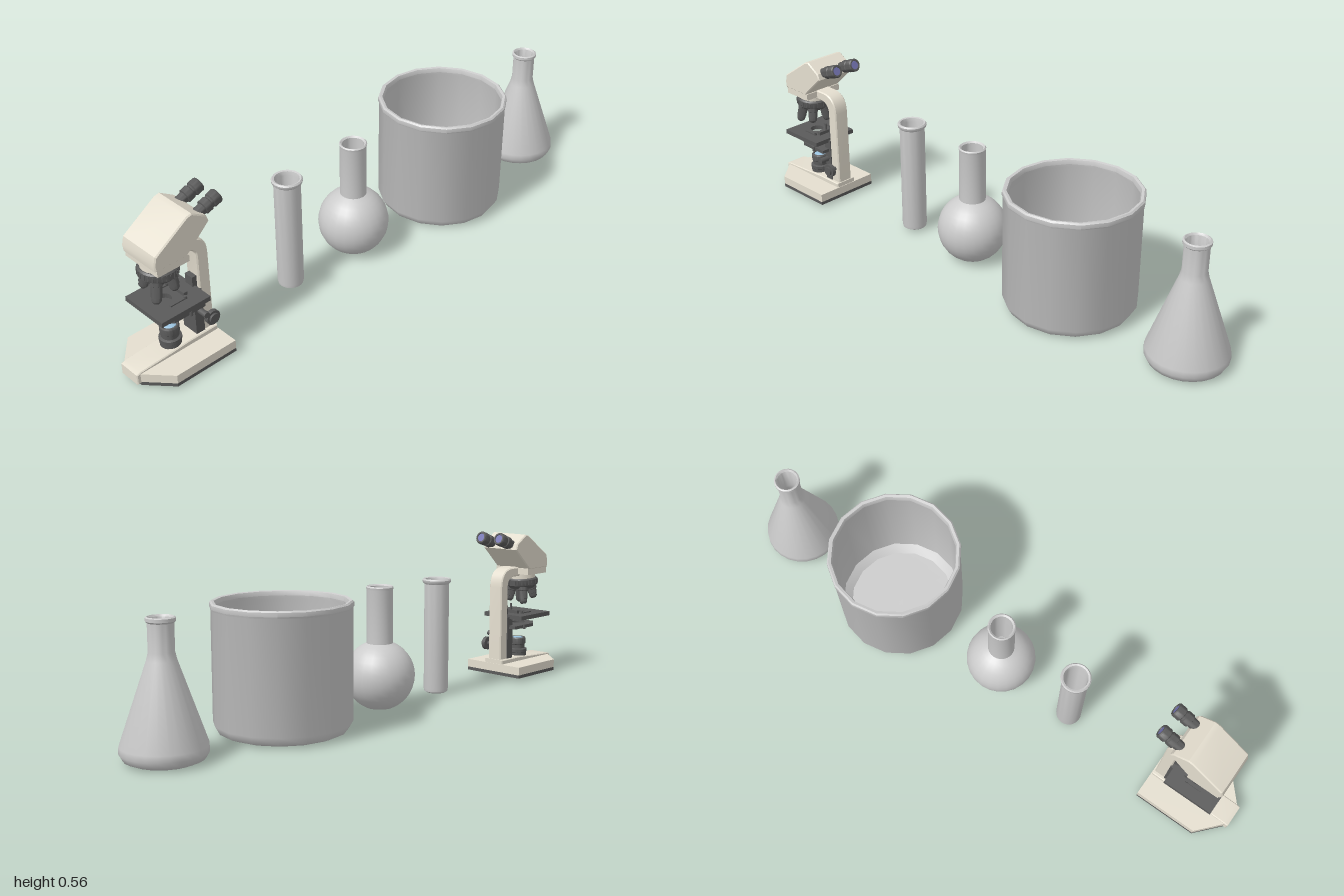
import * as THREE from 'three';
import { toCreasedNormals } from 'three/addons/utils/BufferGeometryUtils.js';

const mat = (color) => new THREE.MeshStandardMaterial({ color });
const glass = mat(0xcccccc), cream = mat(0xe4decf), dark = mat(0x5a5a5a);
const lensBlue = mat(0x9cc4e0), lensViolet = mat(0x7878b8);

function add(parent, name, geometry, material, x = 0, y = 0, z = 0) {
  const mesh = new THREE.Mesh(geometry, material);
  mesh.name = name;
  mesh.position.set(x, y, z);
  parent.add(mesh);
  return mesh;
}

const box = (w, h, d) => new THREE.BoxGeometry(w, h, d);
const cyl = (r, h, r2 = r, n = 20) => new THREE.CylinderGeometry(r, r2, h, n);

// Revolve [radius, height] points, rounding gentle angles only
function lathe(points, segments = 20) {
  const pts = points.map(([r, y]) => new THREE.Vector2(r, y));
  return toCreasedNormals(new THREE.LatheGeometry(pts, segments), 0.7);
}

// Extrude a side outline of [z, y] points across x
function sideProfile(shape, width, bevel = 0) {
  const g = new THREE.ExtrudeGeometry(shape, {
    depth: width - 2 * bevel, bevelEnabled: bevel > 0, bevelSize: bevel,
    bevelThickness: bevel, bevelOffset: -bevel, bevelSegments: 1, curveSegments: 8,
  });
  g.translate(0, 0, -(width - 2 * bevel) / 2).rotateY(-Math.PI / 2);
  return toCreasedNormals(g, 0.5);
}

// Extrude a plan outline of [x, -z] points upwards
function plan(shape, height) {
  const g = new THREE.ExtrudeGeometry(shape, { depth: height, bevelEnabled: false });
  return g.rotateX(-Math.PI / 2);
}

const poly = (pts) => new THREE.Shape(pts.map(([x, y]) => new THREE.Vector2(x, y)));

function addGlassware(root) {
  // Test tube with a small lip
  add(root, 'testTube', lathe([[0, 0.008], [0.034, 0.008], [0.042, 0.013], [0.044, 0.024],
    [0.044, 0.402], [0.05, 0.408], [0.051, 0.416], [0.047, 0.421], [0.041, 0.419],
    [0.038, 0.405], [0.038, 0.022], [0, 0.016]], 24), glass, 0, 0, 0.333);

  // Round flask: spherical bulb with a flat foot and straight neck
  const bulb = (r, from, to) => Array.from({ length: 15 }, (_, i) => {
    const a = from + (to - from) * i / 14;
    return [r * Math.sin(a), 0.116 - r * Math.cos(a)];
  });
  const neck = Math.PI - 0.385;
  add(root, 'roundFlask', lathe([[0, 0.004], ...bulb(0.121, 0.39, neck), [0.045, 0.41],
    [0.047, 0.42], [0.043, 0.424], [0.037, 0.419], [0.037, 0.226],
    ...bulb(0.115, neck, 0.39), [0, 0.01]], 24), glass, 0, 0, 0.038);

  // Wide beaker with a chamfered foot and rolled rim
  add(root, 'beaker', lathe([[0, 0.002], [0.185, 0.003], [0.208, 0.012], [0.223, 0.038],
    [0.223, 0.4], [0.227, 0.406], [0.226, 0.419], [0.221, 0.424], [0.212, 0.422],
    [0.208, 0.408], [0.212, 0.396], [0.212, 0.04], [0.185, 0.014], [0, 0.012]], 16), glass, 0, 0, -0.406);

  // Conical flask
  add(root, 'conicalFlask', lathe([[0, 0.003], [0.1, 0.003], [0.121, 0.012], [0.132, 0.032],
    [0.131, 0.052], [0.045, 0.3], [0.039, 0.325], [0.039, 0.41], [0.044, 0.415], [0.044, 0.425],
    [0.039, 0.428], [0.034, 0.422], [0.033, 0.325], [0.039, 0.298], [0.125, 0.05],
    [0.1, 0.012], [0, 0.01]], 24), glass, 0, 0, -0.868);
}

function addMicroscope(root) {
  const m = new THREE.Group();
  m.name = 'microscope';
  m.position.x = 0.019;
  root.add(m);

  // Base with a tapered front, dark underside and raised centre
  const foot = [[-0.123, -0.69], [-0.123, -0.915], [-0.04, -0.988], [0.04, -0.988], [0.123, -0.915], [0.123, -0.69]];
  add(m, 'basePlate', plan(poly(foot), 0.012), dark, 0, 0.014, 0);
  add(m, 'base', plan(poly(foot), 0.03), cream, 0, 0.026, 0);
  add(m, 'baseRidge', sideProfile(poly([[0.692, 0.02], [1, 0.02], [1, 0.057], [0.985, 0.062],
    [0.88, 0.067], [0.8, 0.072], [0.692, 0.072]]), 0.081, 0.003), cream);

  // Curved arm
  const arm = new THREE.Shape();
  arm.moveTo(0.696, 0.06);
  arm.lineTo(0.738, 0.06);
  arm.lineTo(0.738, 0.352);
  arm.quadraticCurveTo(0.74, 0.38, 0.772, 0.385);
  arm.lineTo(0.895, 0.385);
  arm.lineTo(0.895, 0.42);
  arm.lineTo(0.76, 0.42);
  arm.quadraticCurveTo(0.698, 0.418, 0.696, 0.35);
  add(m, 'arm', sideProfile(arm, 0.058, 0.004), cream);
  add(m, 'focusRail', box(0.064, 0.165, 0.032), dark, 0, 0.15, 0.75);
  add(m, 'stageRack', box(0.034, 0.06, 0.02), dark, 0, 0.245, 0.745);

  // Sloped head
  add(m, 'headFoot', box(0.152, 0.024, 0.115), cream, 0, 0.405, 0.855);
  add(m, 'head', sideProfile(poly([[0.805, 0.414], [0.918, 0.414], [0.921, 0.437], [0.914, 0.465],
    [0.795, 0.545], [0.777, 0.549], [0.726, 0.517], [0.718, 0.495]]), 0.156, 0.004), cream);

  // Eyepieces, tilted up towards the back
  for (const side of [-1, 1]) {
    const eye = new THREE.Group();
    eye.name = 'eyepiece';
    eye.position.set(side * 0.042, 0.507, 0.745);
    eye.rotation.x = -1.22;
    m.add(eye);
    add(eye, 'eyepieceTube', lathe([[0, 0], [0.018, 0], [0.018, 0.035], [0.023, 0.037], [0.023, 0.058],
      [0.02, 0.061], [0.02, 0.066], [0.024, 0.069], [0.024, 0.092], [0.021, 0.096],
      [0.016, 0.096], [0.015, 0.091], [0, 0.091]]), dark);
    add(eye, 'eyepieceLens', cyl(0.015, 0.003), lensViolet, 0, 0.092, 0);
  }

  // Revolving nosepiece with angled objectives
  const nose = new THREE.Group();
  nose.name = 'nosepiece';
  nose.position.set(0, 0.36, 0.858);
  nose.rotation.x = -0.06;
  m.add(nose);
  add(nose, 'noseCollar', cyl(0.054, 0.026), cream, 0, 0.026, 0);
  add(nose, 'noseRing', lathe([[0, -0.026], [0.048, -0.026], [0.056, -0.014], [0.062, -0.012],
    [0.062, 0.01], [0.057, 0.015], [0, 0.015]], 28), dark);
  for (let i = 0; i < 28; i++) {
    const a = i * Math.PI / 14;
    add(nose, 'gripRib', box(0.005, 0.016, 0.005), dark, 0.061 * Math.sin(a), -0.001, 0.061 * Math.cos(a)).rotation.y = a;
  }
  [0.072, 0.056, 0.064, 0.05].forEach((len, i) => {
    const turn = new THREE.Group();
    turn.name = 'objective';
    turn.rotation.y = Math.PI / 4 + i * Math.PI / 2;
    nose.add(turn);
    add(turn, 'objectiveBarrel', lathe([[0, -len], [0.009, -len], [0.015, -len + 0.008], [0.015, -len + 0.02],
      [0.017, -len + 0.021], [0.017, -0.014], [0.02, -0.012], [0.02, 0], [0, 0]]), dark, 0, -0.02, 0.037).rotation.x = -0.2;
  });

  // Stage with a light hole, and its slide holder
  const stage = poly([[-0.089, -0.745], [-0.089, -0.925], [0.089, -0.925], [0.089, -0.745]]);
  stage.holes.push(new THREE.Path().absarc(0, -0.85, 0.024, 0, Math.PI * 2));
  add(m, 'stage', plan(stage, 0.016), dark, 0, 0.225, 0);
  add(m, 'slideHolder', box(0.07, 0.012, 0.014), dark, 0, 0.247, 0.795);
  for (const side of [-1, 1]) {
    add(m, 'slideClip', box(0.007, 0.004, 0.06), dark, side * 0.045, 0.243, 0.83);
    add(m, 'clipScrew', cyl(0.005, 0.01, 0.005, 10), dark, side * 0.045, 0.246, 0.805);
  }
  add(m, 'stagePin', cyl(0.004, 0.03, 0.004, 10), dark, 0, 0.263, 0.795);

  // Condenser carrier below the stage
  const carrier = poly([[-0.06, -0.745], [-0.06, -0.86], [-0.03, -0.9], [0.03, -0.9], [0.06, -0.86], [0.06, -0.745]]);
  carrier.holes.push(new THREE.Path().absarc(0, -0.845, 0.026, 0, Math.PI * 2));
  add(m, 'condenserCarrier', plan(carrier, 0.012), dark, 0, 0.187, 0);
  for (const side of [-1, 1]) {
    add(m, 'carrierScrew', cyl(0.006, 0.018, 0.006, 10), dark, side * 0.06, 0.192, 0.8);
  }

  // Lamp with a pale lens
  add(m, 'lamp', lathe([[0, 0.066], [0.034, 0.066], [0.034, 0.082], [0.036, 0.084], [0.036, 0.095],
    [0.028, 0.098], [0.028, 0.112], [0.031, 0.115], [0.031, 0.136], [0.028, 0.14],
    [0.023, 0.14], [0.022, 0.136], [0, 0.136]]), dark, 0, 0, 0.842);
  add(m, 'lampLens', new THREE.SphereGeometry(0.022, 16, 6, 0, Math.PI * 2, 0, Math.PI / 2).scale(1, 0.25, 1),
    lensBlue, 0, 0.136, 0.842);

  // Focus knobs on the left side
  const knob = (name, r, w, x, y, z) => add(m, name, cyl(r, w, r, 16), dark, x, y, z).rotation.z = Math.PI / 2;
  knob('focusShaft', 0.008, 0.035, 0.035, 0.125, 0.718);
  knob('coarseKnob', 0.025, 0.014, 0.053, 0.125, 0.718);
  knob('fineKnob', 0.017, 0.01, 0.062, 0.125, 0.718);
  knob('stageShaft', 0.005, 0.04, 0.04, 0.159, 0.75);
  knob('stageKnob', 0.01, 0.034, 0.054, 0.159, 0.75);
}

export function createModel() {
  const root = new THREE.Group();
  root.name = 'laboratorySet';
  addMicroscope(root);
  addGlassware(root);
  return root;
}
